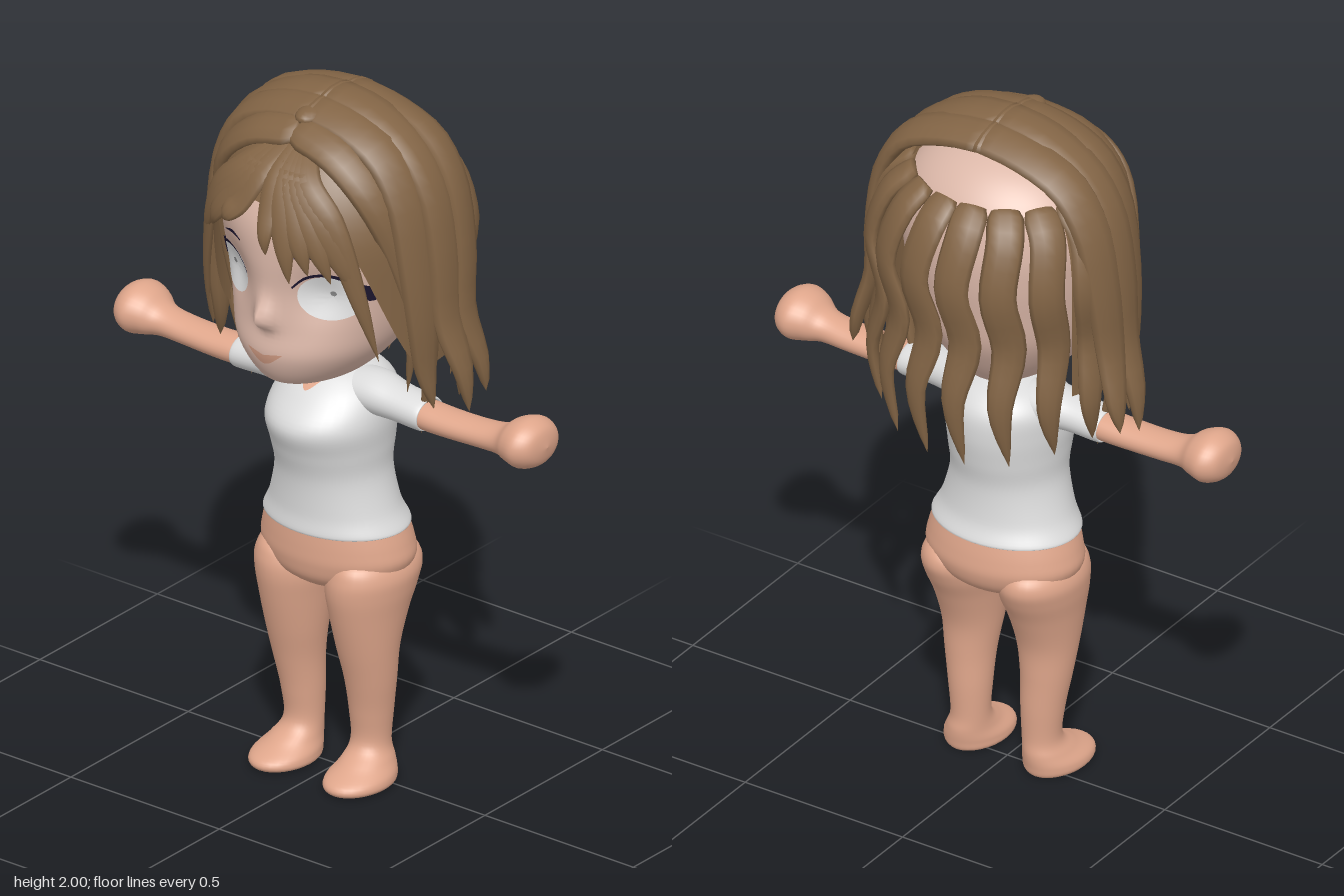
import * as THREE from 'three';

const mat = (name, color, side = THREE.FrontSide) =>
  Object.assign(new THREE.MeshStandardMaterial({ color, side }), { name });

// Skin a list of closed rings of points; rings run counter-clockwise about the travel direction
function skin(rings) {
  const n = rings[0].length, pos = [], idx = [];
  rings.forEach(r => r.forEach(p => pos.push(p.x, p.y, p.z)));
  for (let i = 0; i < rings.length - 1; i++) for (let j = 0; j < n; j++) {
    const a = i * n + j, b = i * n + (j + 1) % n;
    idx.push(a, b, a + n, b, b + n, a + n);
  }
  const g = new THREE.BufferGeometry();
  g.setAttribute('position', new THREE.Float32BufferAttribute(pos, 3));
  g.setIndex(idx);
  g.computeVertexNormals();
  return g;
}

// Smooth loft along y; each row is [y, centre x, front z, back z, half width]
function loft(rows, sides = 32, steps = 6) {
  const rings = [], last = rows.length - 1;
  const spline = (t, c) => {
    const i = Math.min(Math.floor(t), last - 1), f = t - i;
    const [p0, p1, p2, p3] = [i - 1, i, i + 1, i + 2].map(k => rows[Math.max(0, Math.min(last, k))][c]);
    return p1 + 0.5 * f * (p2 - p0 + f * (2 * p0 - 5 * p1 + 4 * p2 - p3 + f * (3 * (p1 - p2) + p3 - p0)));
  };
  for (let k = 0; k <= last * steps; k++) {
    const [y, cx, zf, zb, rx] = [0, 1, 2, 3, 4].map(c => spline(k / steps, c));
    rings.push(Array.from({ length: sides }, (_, j) => {
      const a = j / sides * Math.PI * 2;
      return new THREE.Vector3(cx + Math.max(0, rx) * Math.sin(a), y, (zf + zb) / 2 + Math.max(0, zf - zb) / 2 * Math.cos(a));
    }));
  }
  return skin(rings);
}

// Tapered hair lock following a curve, flat side turned towards the head
function lock(points, width, thick, start = 0.5, power = 3) {
  const curve = new THREE.CatmullRomCurve3(points.map(p => new THREE.Vector3(...p)));
  const rings = [], steps = 20, sides = 10;
  for (let i = -1; i <= steps; i++) {
    const u = Math.max(0, i) / steps, p = curve.getPoint(u), T = curve.getTangent(u);
    const N = new THREE.Vector3(p.x, Math.max(0, p.y - 1.65), p.z);
    N.addScaledVector(T, -N.dot(T)).normalize();
    const B = new THREE.Vector3().crossVectors(N, T);
    const k = i < 0 ? 0 : Math.min(1, start + u * 4) * (1 - u ** power);
    rings.push(Array.from({ length: sides }, (_, j) => {
      const a = j / sides * Math.PI * 2;
      return p.clone().addScaledVector(B, width * k * Math.cos(a))
        .addScaledVector(N, thick * Math.sqrt(k) * Math.sin(a));
    }));
  }
  return skin(rings);
}

// Lay a flat geometry onto the front of a mesh
function drape(geo, target, offset) {
  const ray = new THREE.Raycaster(), p = geo.attributes.position;
  for (let i = 0; i < p.count; i++) {
    ray.set(new THREE.Vector3(p.getX(i), p.getY(i), 2), new THREE.Vector3(0, 0, -1));
    const hit = ray.intersectObject(target)[0];
    p.setZ(i, (hit ? hit.point.z : 0) + offset);
  }
  geo.computeVertexNormals();
  return geo;
}

// Strip between a lower and an upper outline, each a list of [x, y]
function strip(low, high, s = 1) {
  const line = pts => new THREE.SplineCurve(pts.map(([x, y]) => new THREE.Vector2(x * s, y)));
  const a = line(low), b = line(high), g = new THREE.PlaneGeometry(1, 1, 20, 3), p = g.attributes.position;
  for (let i = 0; i < p.count; i++) {
    const u = p.getX(i) + 0.5, q = a.getPoint(u).lerp(b.getPoint(u), p.getY(i) + 0.5);
    p.setXY(i, q.x, q.y);
  }
  return g;
}

export function createModel() {
  const model = new THREE.Group();
  model.name = 'figure';
  const D = THREE.DoubleSide;
  const skinMat = mat('skin', 0xdfa68b), faceMat = mat('face skin', 0xdcb8a9);
  const shirtMat = mat('white shirt', 0xdcdcdc, D), hairMat = mat('brown hair', 0x826445, D);
  const eyeMat = mat('eye white', 0xffffff, D), lashMat = mat('dark lash', 0x1e1730, D);
  const pupilMat = mat('grey pupil', 0x8c8c8c, D);
  const lipMat = mat('lip', 0xcb977f, D), collarMat = mat('neckline skin', 0xdfa68b, D);
  const add = (name, geo, m) => {
    const mesh = new THREE.Mesh(geo, m);
    mesh.name = name;
    model.add(mesh);
    return mesh;
  };

  // Head with a small raised nose and shallow eye sockets
  const headGeo = loft([
    [1.21, 0, 0.1, 0, 0], [1.22, 0, 0.235, -0.1, 0.1], [1.25, 0, 0.28, -0.14, 0.15], [1.32, 0, 0.308, -0.19, 0.21],
    [1.4, 0, 0.3, -0.23, 0.248], [1.5, 0, 0.305, -0.25, 0.272], [1.6, 0, 0.31, -0.265, 0.288], [1.7, 0, 0.3, -0.265, 0.295],
    [1.8, 0, 0.25, -0.24, 0.27], [1.87, 0, 0.18, -0.18, 0.2], [1.91, 0, 0.09, -0.1, 0.1], [1.92, 0, 0, 0, 0],
  ], 96);
  const hp = headGeo.attributes.position;
  for (let i = 0; i < hp.count; i++) {
    const x = hp.getX(i), y = hp.getY(i), z = hp.getZ(i), dy = y - 1.43;
    if (z <= 0) continue;
    const nose = 0.05 * Math.exp(-((x / 0.028) ** 2) - (dy / (dy > 0 ? 0.05 : 0.025)) ** 2);
    const socket = 0.042 * Math.exp(-(((Math.abs(x) - 0.14) / 0.075) ** 2) - ((y - 1.51) / 0.085) ** 2);
    hp.setZ(i, z + nose - socket);
  }
  headGeo.computeVertexNormals();
  const head = add('head', headGeo, faceMat);
  add('neck', loft([[1.08, 0, 0.06, -0.07, 0.06], [1.18, 0, 0.06, -0.06, 0.055], [1.27, 0, 0.06, -0.06, 0.055]]), skinMat);

  // Face details
  add('mouth', drape(strip([[-0.055, 1.333], [0, 1.298], [0.055, 1.333]],
    [[-0.055, 1.336], [-0.02, 1.33], [0, 1.326], [0.02, 1.33], [0.055, 1.336]]), head, 0.005), lipMat);
  for (const s of [1, -1]) {
    const white = new THREE.RingGeometry(0, 1, 36, 6).scale(0.076, 0.066, 1).translate(0.159 * s, 1.508, 0);
    add('eye', drape(white, head, 0.004), eyeMat);
    add('pupil', drape(new THREE.RingGeometry(0, 0.008, 12, 1).translate(0.165 * s, 1.52, 0), head, 0.007), pupilMat);
    add('upperLash', drape(strip(
      [[0.076, 1.532], [0.11, 1.564], [0.16, 1.577], [0.21, 1.556], [0.234, 1.502], [0.255, 1.503], [0.276, 1.532]],
      [[0.074, 1.537], [0.11, 1.573], [0.16, 1.587], [0.21, 1.574], [0.238, 1.55], [0.258, 1.54], [0.277, 1.535]], s), head, 0.008), lashMat);
    add('eyebrow', drape(strip([[0.09, 1.628], [0.13, 1.633], [0.175, 1.622]],
      [[0.09, 1.632], [0.13, 1.643], [0.175, 1.624]], s), head, 0.006), lashMat);
  }

  // Shirt and hips
  const shirt = add('shirt', loft([
    [0.755, 0, 0.14, -0.14, 0.19], [0.745, 0, 0.165, -0.17, 0.213], [0.8, 0, 0.16, -0.15, 0.186], [0.9, 0, 0.165, -0.143, 0.16],
    [0.98, 0, 0.188, -0.158, 0.163], [1.06, 0, 0.21, -0.17, 0.17], [1.13, 0, 0.155, -0.165, 0.16],
    [1.175, 0, 0.1, -0.13, 0.12], [1.2, 0, 0.055, -0.08, 0.065],
  ], 48), shirtMat);
  add('neckline', drape(strip([[-0.042, 1.192], [0, 1.152], [0.042, 1.192]],
    [[-0.042, 1.194], [0, 1.194], [0.042, 1.194]]), shirt, 0.005), collarMat);
  add('hips', loft([
    [0.55, 0, 0.02, -0.04, 0], [0.56, 0, 0.08, -0.09, 0.07], [0.6, 0, 0.14, -0.155, 0.185], [0.65, 0, 0.158, -0.178, 0.225],
    [0.7, 0, 0.16, -0.175, 0.22], [0.76, 0, 0.157, -0.162, 0.201],
  ], 40), skinMat);

  for (const s of [1, -1]) {
    // Arms and sleeves, lofted along y and turned sideways: [distance, height, front, back, half height]
    const sideways = (name, rows, m) => {
      add(name, loft(rows.map(([d, h, f, b, r]) => [d, -s * h, f, b, r])), m).rotation.z = -s * Math.PI / 2;
    };
    sideways('arm', [[0.26, 1.13, 0.05, -0.045, 0.036], [0.32, 1.126, 0.058, -0.048, 0.039], [0.4, 1.125, 0.058, -0.048, 0.037],
      [0.5, 1.128, 0.055, -0.048, 0.037], [0.57, 1.135, 0.058, -0.05, 0.043], [0.615, 1.147, 0.083, -0.075, 0.062],
      [0.66, 1.15, 0.095, -0.088, 0.07], [0.7, 1.15, 0.065, -0.06, 0.048], [0.714, 1.15, 0.003, 0.003, 0]], skinMat);
    sideways('sleeve', [[0.05, 1.14, 0.07, -0.08, 0.05], [0.14, 1.14, 0.072, -0.075, 0.058], [0.22, 1.134, 0.066, -0.06, 0.05],
      [0.31, 1.127, 0.063, -0.056, 0.046], [0.309, 1.127, 0.05, -0.045, 0.034]], shirtMat);

    // Legs with rounded feet
    add('leg', loft([
      [0, 0.125 * s, 0.1, -0.03, 0], [0.004, 0.125 * s, 0.165, -0.055, 0.075], [0.03, 0.125 * s, 0.172, -0.062, 0.084],
      [0.065, 0.12 * s, 0.105, -0.065, 0.066], [0.11, 0.113 * s, 0.052, -0.06, 0.054], [0.2, 0.115 * s, 0.058, -0.064, 0.06],
      [0.3, 0.12 * s, 0.08, -0.066, 0.07], [0.4, 0.119 * s, 0.108, -0.075, 0.083], [0.5, 0.118 * s, 0.134, -0.112, 0.097],
      [0.57, 0.118 * s, 0.148, -0.148, 0.108], [0.62, 0.122 * s, 0.146, -0.164, 0.105], [0.66, 0.125 * s, 0.125, -0.145, 0.08],
      [0.69, 0.125 * s, 0.06, -0.08, 0.03],
    ]), skinMat);

    // Locks draped from the parting over the sides: [z, top, spread, tip x, tip y, tip z, half width]
    for (const [z, top, k, x, tip, tz, w] of [[-0.09, 1.962, 1, 0.425, 1.19, -0.1, 0.062], [0, 1.978, 1, 0.432, 1.16, -0.02, 0.066],
      [0.085, 1.962, 0.92, 0.36, 1.17, 0.04, 0.064]])
      add('sideLock', lock([[-0.01 * s, top, z], [0.12 * s, top - 0.018, z], [0.25 * k * s, 1.89, z], [0.325 * k * s, 1.78, z],
        [0.362 * k * s, 1.6, z * 0.95], [0.375 * k * s, 1.42, z * 0.8], [(x - 0.015) * s, 1.28, (z + 2 * tz) / 3], [x * s, tip, tz]],
        w, 0.026, 1, 5), hairMat);
    add('templeLock', lock([[0, 1.93, 0.16], [0.14 * s, 1.895, 0.17], [0.245 * s, 1.8, 0.16], [0.3 * s, 1.62, 0.105],
      [0.305 * s, 1.42, 0.06], [0.27 * s, 1.19, 0.04]], 0.055, 0.022, 0.8), hairMat);
    add('thinLock', lock([[0.3 * s, 1.6, 0.04], [0.335 * s, 1.45, 0.04], [0.33 * s, 1.3, 0.02], [0.285 * s, 1.06, 0]], 0.04, 0.016), hairMat);

    // Wavy locks hanging behind the head: [angle from the back, tip height]
    for (const [deg, tip] of [[9.5, 1.08], [30, 1.09], [51, 1.12], [71, 1.14]])
      add('backLock', lock([[1.83, 0.23, 0], [1.77, 0.295, 0], [1.62, 0.335, 3], [1.45, 0.31, -2], [1.28, 0.335, 2], [tip, 0.315, -2]]
        .map(([y, r, sway]) => {
          const a = (deg * s + sway) * Math.PI / 180;
          return [r * 1.1 * Math.sin(a), y, -r * Math.cos(a)];
        }), 0.051, 0.022, 0.75, 5), hairMat);
  }

  // Fringe swept out from the parting: [tip x, tip y, half width]
  for (const [x, y, w] of [[-0.12, 1.69, 0.045], [-0.185, 1.64, 0.05], [-0.24, 1.57, 0.05], [-0.272, 1.34, 0.042], [0.03, 1.64, 0.035],
    [0.095, 1.57, 0.045], [0.14, 1.6, 0.045], [0.19, 1.58, 0.045], [0.24, 1.54, 0.05], [0.272, 1.34, 0.042]]) {
    const round = (k, r) => r * Math.sqrt(1 - (k * x / 0.34) ** 2);
    add('fringeLock', lock([[0.1 * x, 1.9, 0.17], [0.38 * x, 1.835, round(0.38, 0.27)], [0.7 * x, 1.75, round(0.7, 0.32)],
      [0.93 * x, (1.74 + y) / 2, round(0.93, 0.345)], [x * 1.06, y, round(1.06, 0.345)]], w, 0.016, 0.7), hairMat);
  }

  // Cap under the locks, open at the face and at the back
  const cap = new THREE.PlaneGeometry(1, 1, 48, 16), cp = cap.attributes.position;
  for (let i = 0; i < cp.count; i++) {
    const a = cp.getX(i) * 4, v = 0.5 - cp.getY(i);
    const edge = THREE.MathUtils.lerp(1.76, 1.28, THREE.MathUtils.smoothstep(Math.abs(a), 0.5, 1.5));
    const y = 1.965 - (1.965 - edge) * v * v;
    const r = y > 1.62 ? Math.sqrt(Math.max(0, 1 - ((y - 1.62) / 0.345) ** 2)) : 1;
    cp.setXYZ(i, 0.325 * r * Math.sin(a), y, 0.325 * r * Math.cos(a));
  }
  cap.computeVertexNormals();
  add('hairCap', cap, hairMat);
  add('crownTuft', new THREE.SphereGeometry(1, 16, 10).scale(0.04, 0.025, 0.06).translate(0, 1.955, 0.1), hairMat);
  return model;
}
